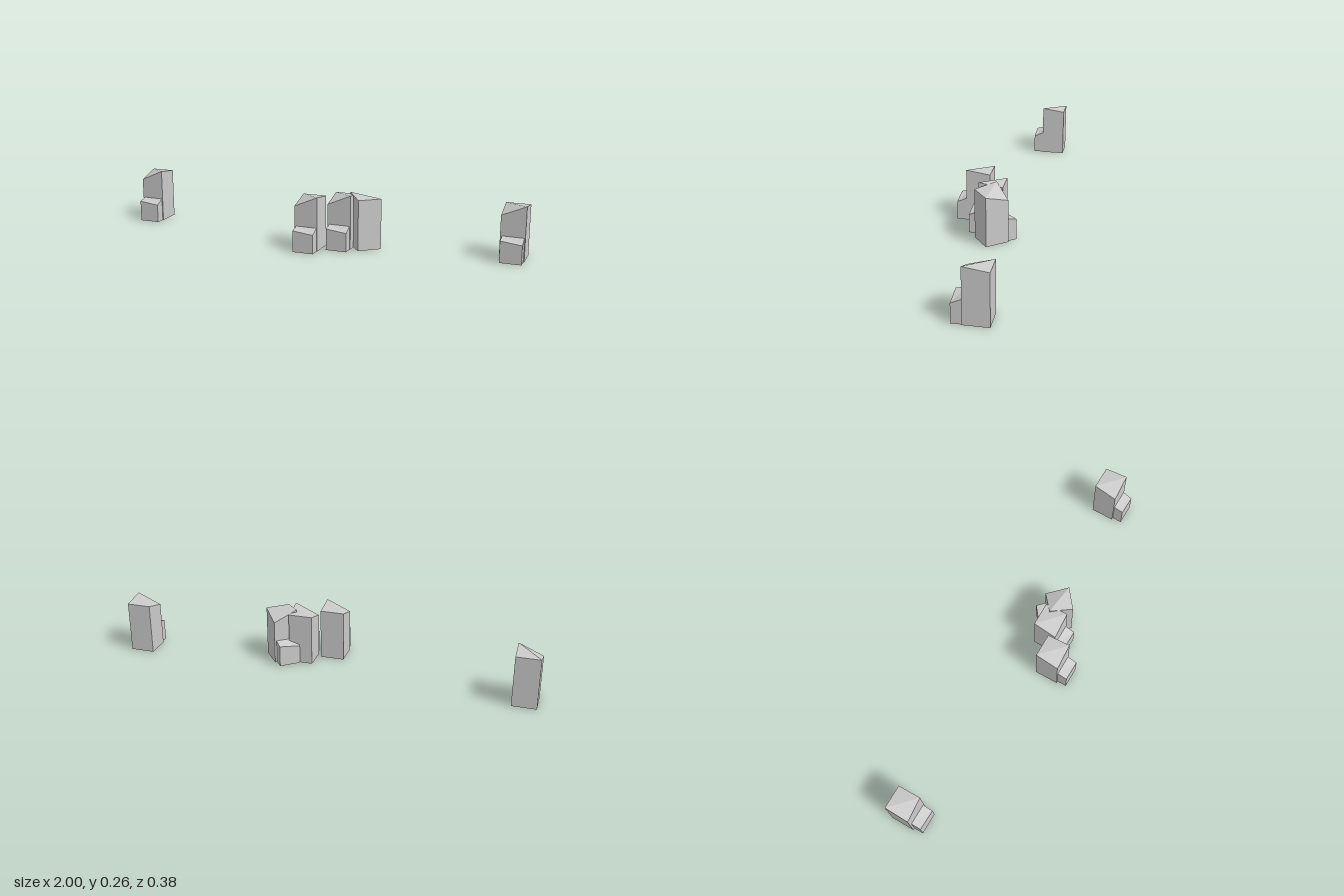
import * as THREE from 'three';

const material = new THREE.MeshStandardMaterial({ color: 0xcccccc, flatShading: true });

// A block standing on y = 0 whose four top corners have their own heights.
function slantedBlock(name, x0, x1, z0, z1, { fl, fr, bl, br }) {
  // The quarter turn puts the roof crease between back left and front right.
  const geometry = new THREE.BoxGeometry(1, 1, 1).rotateY(Math.PI / 2).toNonIndexed();
  const p = geometry.attributes.position;
  for (let i = 0; i < p.count; i++) {
    const right = p.getX(i) > 0, front = p.getZ(i) > 0;
    const top = front ? (right ? fr : fl) : (right ? br : bl);
    p.setXYZ(i, right ? x1 : x0, p.getY(i) > 0 ? top : 0, front ? z1 : z0);
  }
  geometry.computeVertexNormals();
  const mesh = new THREE.Mesh(geometry, material);
  mesh.name = name;
  return mesh;
}

// Tall block with a creased roof, and a low porch in front of it.
function house(name, x, z, turn = 0) {
  const h = 0.0573;
  const group = new THREE.Group();
  group.name = name;
  group.add(
    slantedBlock('tower', -h, h, -h, h, { fl: 0.21, fr: 0.26, bl: 0.244, br: 0.244 }),
    slantedBlock('porch', -0.048, 0.053, h, h + 0.047, { fl: 0.103, fr: 0.091, bl: 0.114, br: 0.113 }),
  );
  group.position.set(x, 0, z);
  group.rotation.y = turn;
  return group;
}

export function createModel() {
  const model = new THREE.Group();
  model.name = 'houses';
  model.add(
    house('farRightHouse', -0.943, -0.134),
    house('middleHouse', 0.014, 0.089),
    house('innerHouse', 0.147, 0.002),
    house('turnedHouse', 0.255, -0.012, -2.47),
    house('farLeftHouse', 0.943, -0.102),
  );
  return model;
}
